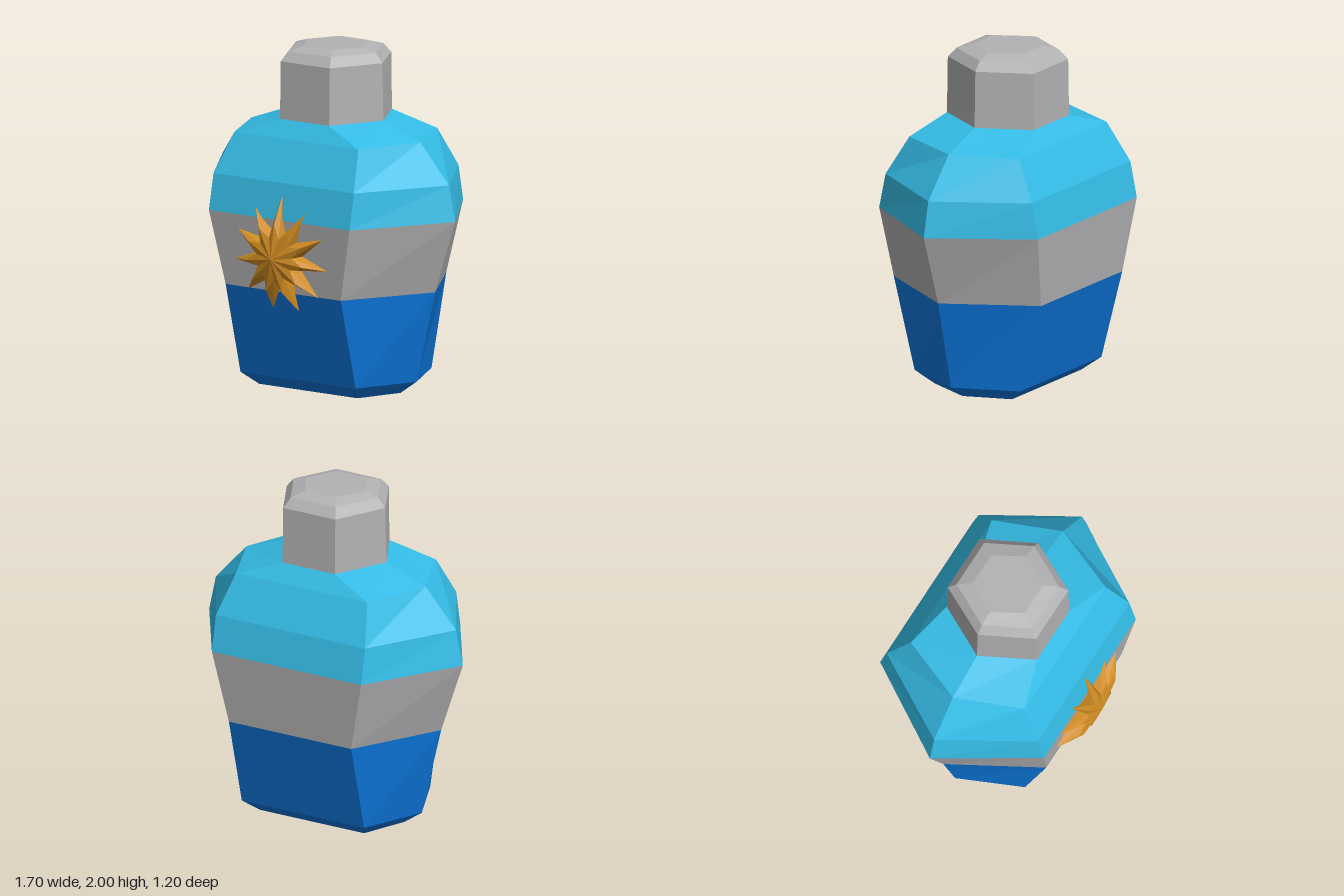
import * as THREE from 'three';

const CZ = -0.04; // depth of the bottle's axis

// Flat-shaded geometry from a list of triangles
function faceted(tris) {
  const g = new THREE.BufferGeometry();
  g.setAttribute('position', new THREE.Float32BufferAttribute(tris.flat(2), 3));
  g.computeVertexNormals();
  return g;
}

// Six corners of a stretched hexagon: [height, corner reach, front half width, half depth]
function hexRing([y, x, w, d]) {
  return [[x, 0], [w, d], [-w, d], [-x, 0], [-w, -d], [w, -d]].map(([px, pz]) => [px, y, pz + CZ]);
}

// Skin a stack of hexagons, optionally closing the ends
function hexLoft(sections, closeBottom, closeTop) {
  const rings = sections.map(hexRing), tris = [];
  for (let j = 0; j < 6; j++) {
    const k = (j + 1) % 6;
    for (let i = 0; i < rings.length - 1; i++) {
      const lo = rings[i], hi = rings[i + 1];
      tris.push([lo[k], lo[j], hi[j]], [lo[k], hi[j], hi[k]]);
    }
    const first = rings[0], last = rings[rings.length - 1];
    if (closeBottom) tris.push([[0, sections[0][0], CZ], first[j], first[k]]);
    if (closeTop) tris.push([[0, sections[sections.length - 1][0], CZ], last[k], last[j]]);
  }
  return faceted(tris);
}

// Depth of the bottle's front face at a height
function frontZ(y) {
  if (y > 1.05) return 0.515 - (y - 1.05) * 0.214;
  if (y > 0.62) return 0.475 + (y - 0.62) * 0.093;
  return 0.33 + (y - 0.08) * 0.269;
}

// Domed eleven-point star with ridged arms
function starGeometry() {
  const n = 11, cy = 0.83, tris = [], apex = [0, cy, 0.6];
  const at = (r, a, z) => {
    const y = cy + r * Math.sin(a);
    return [r * Math.cos(a), y, z ?? frontZ(y) - 0.003];
  };
  for (let i = 0; i < n; i++) {
    const step = (Math.PI * 2) / n, a = Math.PI / 2 + i * step;
    const tip = at(i === 0 ? 0.37 : 0.335, a);
    const ridge = at(0.2, a, 0.565);
    const right = at(0.125, a - step / 2, 0.568), left = at(0.125, a + step / 2, 0.568);
    const rightFoot = at(0.155, a - step / 2), leftFoot = at(0.155, a + step / 2);
    tris.push(
      [apex, right, ridge], [apex, ridge, left],
      [right, tip, ridge], [ridge, tip, left],
      [right, rightFoot, tip], [left, tip, leftFoot]
    );
  }
  return faceted(tris);
}

export function createModel() {
  const group = new THREE.Group();
  const material = (name, color) => {
    const m = new THREE.MeshStandardMaterial({ color });
    m.name = name;
    return m;
  };
  const blue = material('deep blue', 0x0d76dc);
  const sky = material('sky blue', 0x34bce6);
  const grey = material('grey', 0xb2b2b4);
  const gold = material('gold', 0xd08c22);
  const add = (name, geometry, mat) => {
    const mesh = new THREE.Mesh(geometry, mat);
    mesh.name = name;
    group.add(mesh);
  };

  // Bottle, in three colour bands
  const bandLow = [0.62, 0.705, 0.41, 0.515], bandHigh = [1.05, 0.85, 0.5, 0.555];
  add('lowerBody', hexLoft([[0, 0.46, 0.35, 0.27], [0.08, 0.575, 0.41, 0.37], bandLow], true, false), blue);
  add('middleBand', hexLoft([bandLow, bandHigh], false, false), grey);
  add('shoulders', hexLoft([bandHigh, [1.26, 0.805, 0.5, 0.51], [1.49, 0.6, 0.44, 0.385],
    [1.585, 0.335, 0.17, 0.305]], false, true), sky);

  // Bevelled cap
  add('cap', hexLoft([[1.58, 0.338, 0.175, 0.306], [1.92, 0.33, 0.175, 0.3],
    [1.975, 0.285, 0.15, 0.255], [2, 0.2, 0.1, 0.175]], false, true), grey);

  // Front ornament
  add('starOrnament', starGeometry(), gold);
  return group;
}
